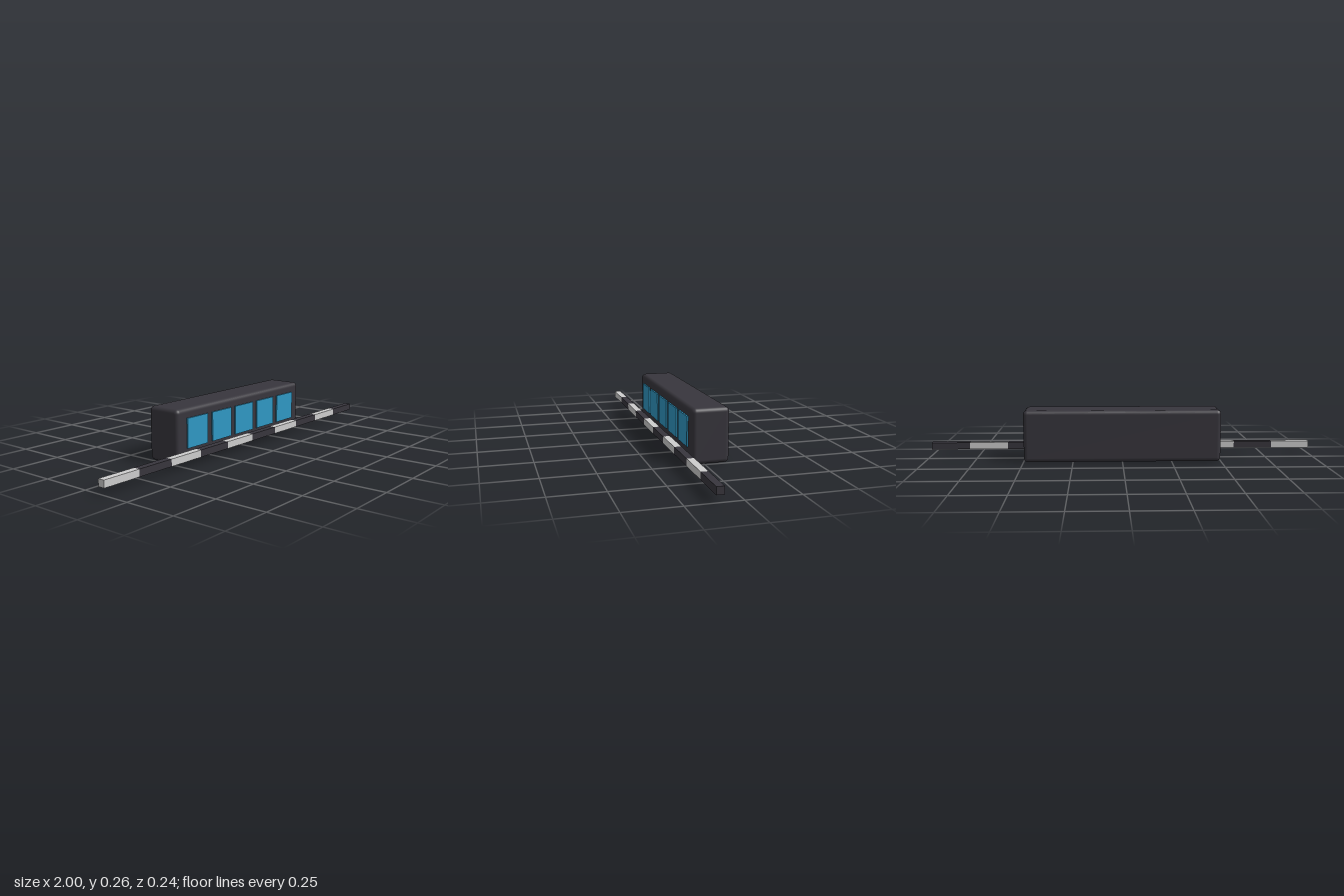
import * as THREE from 'three';
import { RoundedBoxGeometry } from 'three/addons/geometries/RoundedBoxGeometry.js';

function material(name, color) {
  const m = new THREE.MeshStandardMaterial({ color });
  m.name = name;
  return m;
}

export function createModel() {
  const model = new THREE.Group();
  const charcoal = material('charcoal', 0x38363d);
  const lightGrey = material('lightGrey', 0xcecece);
  const blue = material('blue', 0x3098c4);

  const add = (name, geometry, mat, x, y, z) => {
    const mesh = new THREE.Mesh(geometry, mat);
    mesh.name = name;
    mesh.position.set(x, y, z);
    model.add(mesh);
  };

  // Rounded housing
  add('housing', new RoundedBoxGeometry(0.996, 0.263, 0.18, 4, 0.021), charcoal, 0, 0.1335, -0.029);

  // Row of five square panels on the front
  const panel = new THREE.BoxGeometry(0.145, 0.145, 0.009);
  for (let i = -2; i <= 2; i++) {
    add('panel' + (i + 3), panel, blue, i * 0.18, 0.146, 0.0635);
  }

  // Striped bar, ten alternating segments
  const segment = new THREE.BoxGeometry(0.2, 0.035, 0.035);
  for (let i = 0; i < 10; i++) {
    add('barSegment' + (i + 1), segment, i % 2 ? charcoal : lightGrey, -0.9 + i * 0.2, 0.051, 0.1015);
  }

  return model;
}
